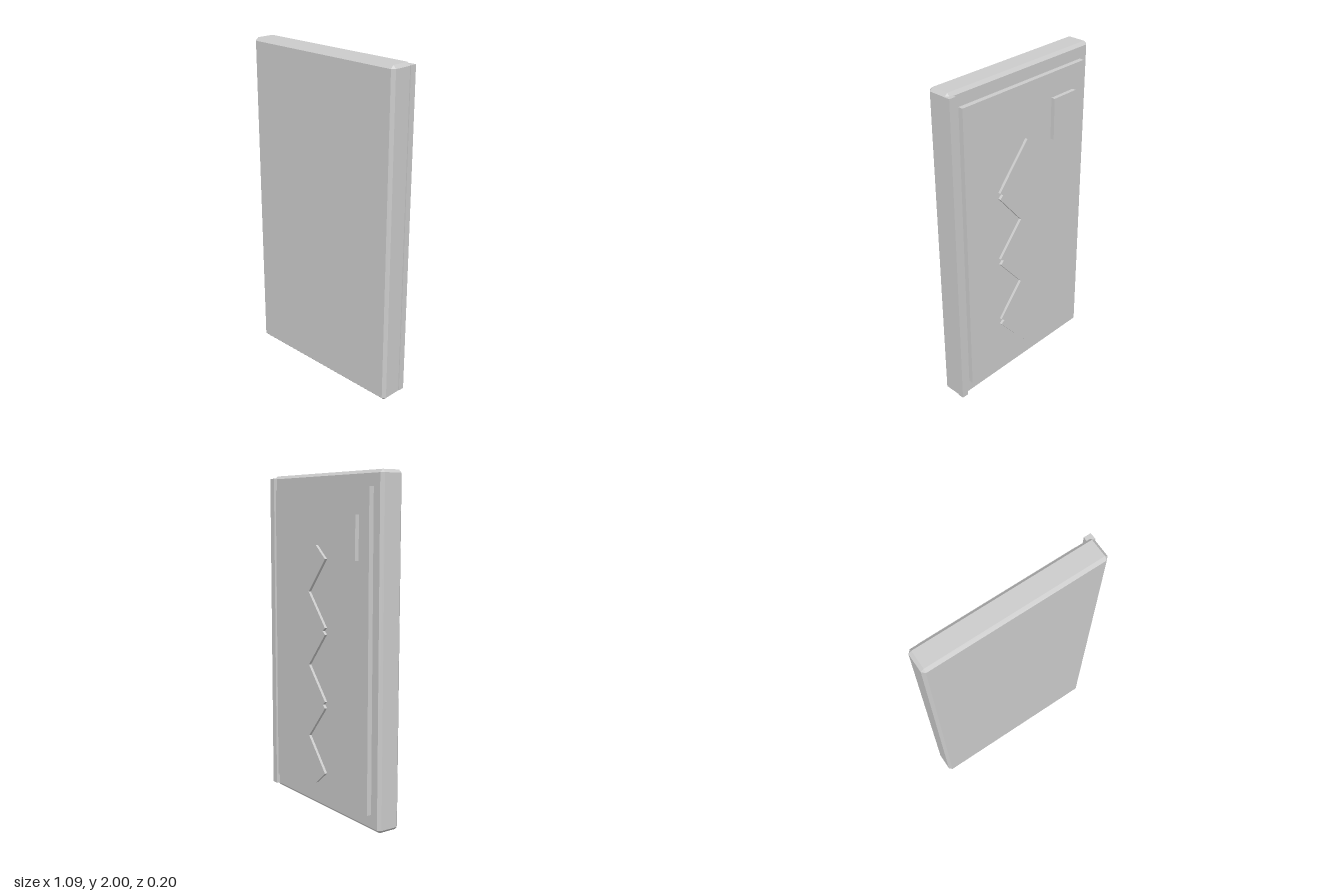
import * as THREE from 'three';
import { ConvexGeometry } from 'three/addons/geometries/ConvexGeometry.js';

const material = new THREE.MeshStandardMaterial({ color: 0xcccccc, flatShading: true });

// Box with every edge cut by an equal chamfer
function chamferedBox(w, h, d, c) {
  const points = [];
  for (const sx of [-1, 1]) for (const sy of [-1, 1]) for (const sz of [-1, 1]) {
    for (let axis = 0; axis < 3; axis++) {
      const inset = [0, 1, 2].map((i) => (i === axis ? 0 : c));
      points.push(new THREE.Vector3(
        sx * (w / 2 - inset[0]), sy * (h / 2 - inset[1]), sz * (d / 2 - inset[2])));
    }
  }
  return new ConvexGeometry(points);
}

export function createModel() {
  const model = new THREE.Group();

  function add(name, geometry, x, y, z) {
    const mesh = new THREE.Mesh(geometry, material);
    mesh.name = name;
    mesh.position.set(x, y, z);
    model.add(mesh);
    return mesh;
  }

  // Box given by its limits on each axis
  function slab(name, [x0, x1], [y0, y1], [z0, z1]) {
    return add(name, new THREE.BoxGeometry(x1 - x0, y1 - y0, z1 - z0),
      (x0 + x1) / 2, (y0 + y1) / 2, (z0 + z1) / 2);
  }

  // Main block
  add('body', chamferedBox(1.085, 2, 0.145, 0.018), -0.0025, 1, 0.025);

  // Strip along the left rear edge
  slab('spine', [0.502, 0.545], [0.02, 1.985], [-0.069, -0.03]);

  // Raised panel and small plate on the back
  slab('backPanel', [-0.473, 0.468], [0.095, 1.913], [-0.077, -0.04]);
  slab('smallPlate', [-0.383, -0.203], [1.515, 1.765], [-0.101, -0.07]);

  // Zigzag of six bars, leaning alternately
  const zigzag = new THREE.Group();
  zigzag.name = 'zigzag';
  const barGeometry = new THREE.BoxGeometry(0.122, 0.337, 0.022);
  for (let i = 0; i < 6; i++) {
    const bar = new THREE.Mesh(barGeometry, material);
    bar.name = 'zigzagBar';
    bar.position.set(0.07, 1.423 - i * 0.2185, -0.082);
    bar.rotation.z = THREE.MathUtils.degToRad(i % 2 ? -40 : 40);
    zigzag.add(bar);
  }
  model.add(zigzag);

  return model;
}
